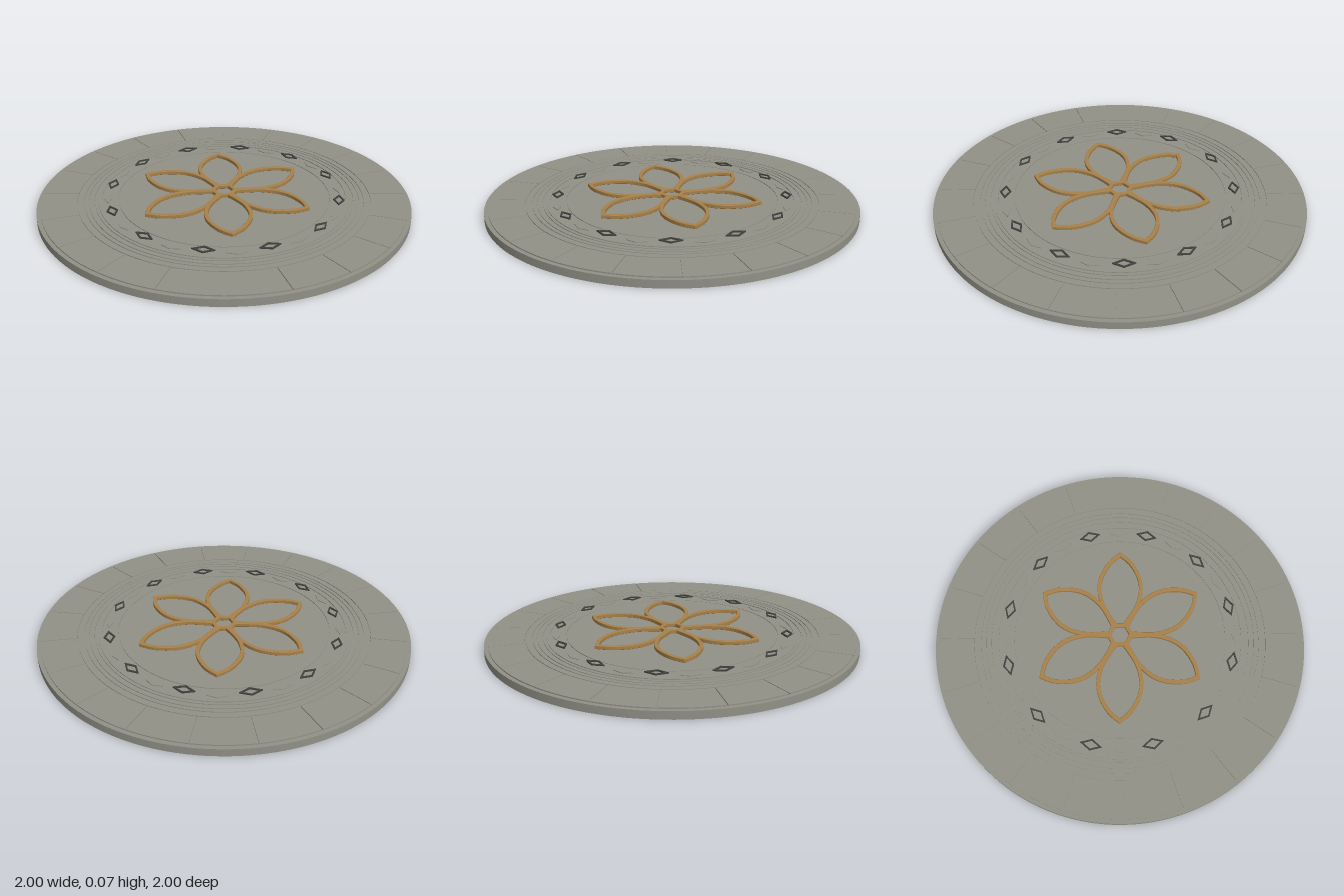
import * as THREE from 'three';
import { toCreasedNormals } from 'three/addons/utils/BufferGeometryUtils.js';

const stone = new THREE.MeshStandardMaterial({ color: 0x919187 });
stone.name = 'stone';
const gold = new THREE.MeshStandardMaterial({ color: 0xa6814a });
gold.name = 'bronze';
const dark = new THREE.MeshStandardMaterial({ color: 0x42423f });
dark.name = 'dark inlay';

const TOP = 0.046;

function add(parent, name, geometry, material) {
  const mesh = new THREE.Mesh(geometry, material);
  mesh.name = name;
  parent.add(mesh);
  return mesh;
}

// Flat plan shape raised from y to y + h
function slab(shape, y, h, bevel = 0) {
  const geo = new THREE.ExtrudeGeometry(shape, {
    depth: h - 2 * bevel, curveSegments: 8, bevelEnabled: bevel > 0,
    bevelSize: bevel, bevelThickness: bevel, bevelOffset: -bevel, bevelSegments: 1,
  });
  return geo.rotateX(-Math.PI / 2).translate(0, y + bevel, 0);
}

// Moves a closed counter-clockwise outline outward by d, with mitred corners
function offset(points, d) {
  const n = points.length;
  return points.map((p, i) => {
    const a = p.clone().sub(points[(i + n - 1) % n]).normalize();
    const b = points[(i + 1) % n].clone().sub(p).normalize();
    const na = new THREE.Vector2(a.y, -a.x);
    const m = na.clone().add(new THREE.Vector2(b.y, -b.x)).normalize();
    return p.clone().addScaledVector(m, d / Math.max(0.4, m.dot(na)));
  });
}

// Outline band of the given width
function band(points, width) {
  const shape = new THREE.Shape(offset(points, width / 2));
  shape.holes.push(new THREE.Path(offset(points, -width / 2)));
  return shape;
}

export function createModel() {
  const group = new THREE.Group();

  // Round base with a recessed block course, circular grooves and one raised band
  const profile = [[0, 0], [1, 0], [1, 0.04], [0.79, 0.04], [0.79, 0.042], [0.785, 0.042], [0.785, TOP]];
  const groove = r => profile.push([r + 0.0025, TOP], [r + 0.0025, 0.042], [r - 0.0025, 0.042], [r - 0.0025, TOP]);
  [0.75, 0.725, 0.695].forEach(groove);
  profile.push([0.676, TOP], [0.676, 0.05], [0.658, 0.05], [0.658, TOP]);
  groove(0.57);
  profile.push([0, TOP]);
  const lathe = new THREE.LatheGeometry(profile.map(([x, y]) => new THREE.Vector2(x, y)), 128);
  add(group, 'base', toCreasedNormals(lathe, 0.5), stone);

  // Outer course of blocks with narrow radial joints
  const blocks = new THREE.Group();
  blocks.name = 'blockCourse';
  group.add(blocks);
  const count = 20, step = Math.PI * 2 / count, gap = 0.002;
  const block = new THREE.Shape();
  block.absarc(0, 0, 0.978, gap / 0.978, step - gap / 0.978, false);
  block.absarc(0, 0, 0.79, step - gap / 0.79, gap / 0.79, true);
  block.closePath();
  const blockGeo = slab(block, 0.039, TOP - 0.039);
  for (let i = 0; i < count; i++) add(blocks, 'block', blockGeo, stone).rotation.y = i * step;

  // Dark open diamonds alternating with low stone diamond tiles
  const diamonds = new THREE.Group();
  diamonds.name = 'diamonds';
  group.add(diamonds);
  const diamond = (rx, rz) => [[rx, 0], [0, rz], [-rx, 0], [0, -rz]].map(([x, y]) => new THREE.Vector2(x, y));
  const frame = slab(band(diamond(0.026, 0.05), 0.008), 0.055, 0.007).translate(0.62, 0, 0);
  const tile = slab(new THREE.Shape(diamond(0.02, 0.054)), TOP - 0.001, 0.005).translate(0.625, 0, 0);
  for (let i = 0; i < 12; i++) {
    add(diamonds, 'diamondTile', tile, stone).rotation.y = i * Math.PI / 6;
    add(diamonds, 'diamondFrame', frame, dark).rotation.y = (i + 0.5) * Math.PI / 6;
  }

  // Six-petal rosette of raised outlines, its inner ends forming an open hub
  const rosette = new THREE.Group();
  rosette.name = 'rosette';
  rosette.rotation.y = -0.02;
  group.add(rosette);
  const side = new THREE.SplineCurve([[0.054, 0.022], [0.11, 0.06], [0.18, 0.097], [0.27, 0.115], [0.35, 0.101],
    [0.43, 0.056], [0.479, 0]].map(([x, y]) => new THREE.Vector2(x, y))).getPoints(18);
  const mirrored = side.map(p => new THREE.Vector2(p.x, -p.y));
  const outline = [...mirrored, ...side.slice(0, -1).reverse()];
  const petal = slab(band(outline, 0.021), 0.054, 0.02, 0.002);
  for (let i = 0; i < 6; i++) add(rosette, 'petal', petal, gold).rotation.y = i * Math.PI / 3;

  return group;
}
